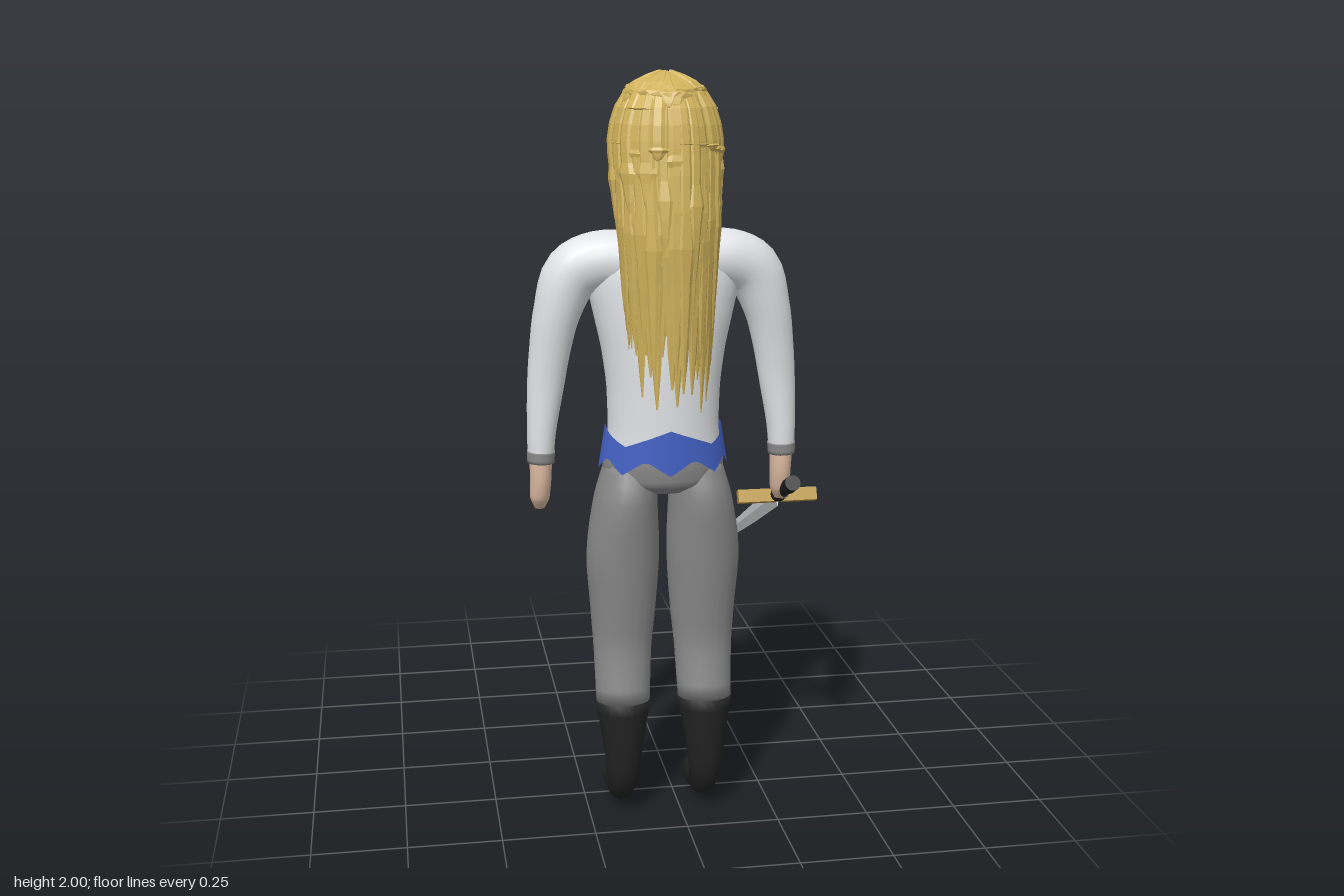
import * as THREE from 'three';

const mat = (name, color, extra = {}) =>
  Object.assign(new THREE.MeshStandardMaterial({ color, ...extra }), { name });

const X = new THREE.Vector3(1, 0, 0);
const Z = new THREE.Vector3(0, 0, 1);

// Closed skin over elliptical rings [x, y, z, radius along ref, radius across].
function loft(rings, ref, sides = 20, steps = 4) {
  const path = new THREE.CatmullRomCurve3(rings.map(r => new THREE.Vector3(r[0], r[1], r[2])));
  const size = new THREE.CatmullRomCurve3(rings.map(r => new THREE.Vector3(r[3], r[4], 0)));
  const n = (rings.length - 1) * steps, pos = [], idx = [];
  for (let i = 0; i <= n; i++) {
    const p = path.getPoint(i / n), s = size.getPoint(i / n);
    const v = path.getTangent(i / n).cross(ref).normalize();
    for (let j = 0; j < sides; j++) {
      const a = j / sides * Math.PI * 2;
      const q = p.clone().addScaledVector(ref, Math.cos(a) * s.x).addScaledVector(v, Math.sin(a) * s.y);
      pos.push(q.x, q.y, q.z);
    }
  }
  const end = pos.length / 3;
  for (const p of [path.getPoint(0), path.getPoint(1)]) pos.push(p.x, p.y, p.z);
  for (let j = 0; j < sides; j++) {
    const k = (j + 1) % sides;
    for (let i = 0; i < n; i++) {
      const a = i * sides + j, b = i * sides + k;
      idx.push(a, b, a + sides, b, b + sides, a + sides);
    }
    idx.push(end, k, j, end + 1, n * sides + j, n * sides + k);
  }
  const g = new THREE.BufferGeometry();
  g.setAttribute('position', new THREE.Float32BufferAttribute(pos, 3));
  g.setIndex(idx);
  g.computeVertexNormals();
  return g;
}

function add(parent, name, geometry, material, x = 0, y = 0, z = 0) {
  const m = new THREE.Mesh(geometry, material);
  m.name = name;
  m.position.set(x, y, z);
  parent.add(m);
  return m;
}

// Jagged sash wrapped around the waist.
function sashGeometry() {
  const n = 56, rows = 4, pos = [], idx = [];
  const tri = t => Math.abs(((t % 1) + 1) % 1 * 2 - 1);
  for (let i = 0; i <= n; i++) {
    const a = i / n, top = 1.055 + 0.045 * tri(a * 4), low = 0.98 + 0.04 * tri(a * 8 + 0.5);
    for (let r = 0; r <= rows; r++) {
      const y = low + (top - low) * r / rows;
      const rx = 0.153 + Math.max(0, 1.1 - y) * 0.16;
      pos.push(rx * Math.sin(a * Math.PI * 2), y, 0.36 + 0.124 * Math.cos(a * Math.PI * 2));
      if (i < n && r < rows) {
        const q = i * (rows + 1) + r, w = q + rows + 1;
        idx.push(q, w, q + 1, w, w + 1, q + 1);
      }
    }
  }
  const g = new THREE.BufferGeometry();
  g.setAttribute('position', new THREE.Float32BufferAttribute(pos, 3));
  g.setIndex(idx);
  g.computeVertexNormals();
  return g;
}

// One flat tapering lock; phi = 0 hangs down the back, PI over the forehead.
function lockGeometry(phi, endY, lift, width) {
  const s = Math.sin(phi), c = Math.cos(phi), rings = [];
  const back = Math.max(0, c);
  for (const deg of [6, 32, 60, 88]) {
    const t = deg * Math.PI / 180, y = 1.83 + (0.16 + lift) * Math.cos(t);
    if (y < endY) break;
    rings.push([s * (0.132 + lift) * Math.sin(t), y, 0.385 + c * (0.142 + lift) * Math.sin(t),
      width * (0.35 + 0.65 * Math.sin(t)), 0.007]);
  }
  const last = rings[rings.length - 1];
  for (const f of [0.3, 0.6, 0.85, 1]) {
    const y = last[1] + (endY - last[1]) * f, d = Math.max(0, 1.83 - y);
    const k = Math.min(1, d / 0.2);
    const narrow = 1 - d * 0.28;
    let x = s * (0.132 + lift) * narrow, z = 0.385 + 0.055 * k + c * (0.142 - 0.022 * k + lift) - back * d * 0.02;
    if (last[1] > 1.85) {
      const m = Math.sqrt(Math.max(0.1, 1 - ((y - 1.83) / 0.17) ** 2));
      x = s * (0.132 + lift) * m;
      z = 0.385 + c * (0.142 + lift) * m;
    }
    const taper = f === 1 ? 0.12 : f > 0.8 ? 0.6 : 1;
    rings.push([x, y, z, width * taper, 0.007 * taper]);
  }
  return loft(rings, new THREE.Vector3(c, 0, -s), 6, 2);
}

export function createModel() {
  const skin = mat('skin', 0xe2c0a6);
  const hairColor = mat('golden hair', 0xd0b25c, { flatShading: true, side: THREE.DoubleSide });
  const shirt = mat('white shirt', 0xe2e5e8);
  const grey = mat('grey cloth', 0x8a8a8a);
  const black = mat('black leather', 0x222222);
  const blue = mat('blue sash', 0x4462c6, { side: THREE.DoubleSide });
  const gold = mat('gold', 0xb8953c);
  const steel = mat('steel', 0xc6c8ca, { flatShading: true });
  const lip = mat('lips', 0x8a5a50);

  const model = new THREE.Group();
  model.name = 'swordBearer';
  const body = new THREE.Group();
  body.name = 'body';
  body.position.x = -0.045;
  model.add(body);

  // Torso and hips
  add(body, 'torso', loft([[0, 1.03, 0.36, 0.152, 0.117], [0, 1.1, 0.36, 0.147, 0.118], [0, 1.2, 0.36, 0.15, 0.12],
    [0, 1.3, 0.36, 0.163, 0.12], [0, 1.4, 0.36, 0.185, 0.116], [0, 1.5, 0.36, 0.205, 0.105],
    [0, 1.565, 0.36, 0.19, 0.085], [0, 1.6, 0.36, 0.13, 0.062], [0, 1.615, 0.36, 0.06, 0.05]], X, 32), shirt);
  add(body, 'hips', loft([[0, 0.92, 0.36, 0.09, 0.07], [0, 0.95, 0.36, 0.155, 0.112],
    [0, 1.0, 0.36, 0.161, 0.119], [0, 1.05, 0.36, 0.15, 0.117]], X, 32), grey);
  add(body, 'sash', sashGeometry(), blue);

  // Arms and legs, mirrored
  for (const s of [-1, 1]) {
    const side = s > 0 ? 'Left' : 'Right';
    const limb = (name, rings, ref, m) =>
      add(body, name + side, loft(rings.map(([x, ...r]) => [x * s, ...r]), ref), m);
    limb('sleeve', [[0.08, 1.525, 0.36, 0.085, 0.078], [0.17, 1.526, 0.36, 0.078, 0.078],
      [0.235, 1.495, 0.358, 0.068, 0.076], [0.275, 1.4, 0.355, 0.06, 0.062], [0.295, 1.3, 0.352, 0.05, 0.054],
      [0.308, 1.2, 0.35, 0.043, 0.048], [0.32, 1.08, 0.35, 0.04, 0.038], [0.323, 1.01, 0.35, 0.038, 0.034]], Z, shirt);
    limb('cuff', [[0.322, 1.03, 0.35, 0.041, 0.037], [0.323, 1.0, 0.35, 0.04, 0.036]], Z, grey);
    limb('hand', [[0.323, 1.01, 0.348, 0.032, 0.03], [0.323, 0.95, 0.34, 0.035, 0.028],
      [0.325, 0.9, 0.33, 0.032, 0.026], [0.325, 0.868, 0.322, 0.014, 0.013]], Z, skin);
    limb('leg', [[0.085, 1.0, 0.36, 0.07, 0.088], [0.1, 0.9, 0.358, 0.084, 0.115], [0.108, 0.75, 0.357, 0.098, 0.099],
      [0.108, 0.6, 0.353, 0.089, 0.083], [0.11, 0.48, 0.356, 0.079, 0.069], [0.112, 0.33, 0.377, 0.073, 0.068]], X, grey);
    limb('boot', [[0.112, 0.335, 0.377, 0.075, 0.07], [0.113, 0.2, 0.386, 0.053, 0.051], [0.114, 0.12, 0.378, 0.044, 0.046],
      [0.114, 0.075, 0.345, 0.038, 0.044], [0.114, 0.06, 0.3, 0.036, 0.043],
      [0.114, 0.05, 0.235, 0.035, 0.045], [0.114, 0.045, 0.207, 0.02, 0.025]], X, black);
  }

  // Head and face
  const head = new THREE.Group();
  head.name = 'head';
  body.add(head);
  add(head, 'neck', loft([[0, 1.57, 0.36, 0.056, 0.052], [0, 1.64, 0.358, 0.046, 0.045], [0, 1.75, 0.355, 0.046, 0.045]], X), skin);
  add(head, 'skull', new THREE.SphereGeometry(1, 28, 20).scale(0.09, 0.132, 0.095), skin, 0, 1.822, 0.36);
  add(head, 'nose', new THREE.ConeGeometry(0.017, 0.05, 8).rotateX(-0.5), skin, 0, 1.825, 0.258);
  for (const s of [-1, 1]) {
    add(head, 'eye', new THREE.SphereGeometry(1, 14, 10).scale(0.016, 0.009, 0.008), shirt, s * 0.035, 1.848, 0.276);
    add(head, 'pupil', new THREE.SphereGeometry(1, 10, 8).scale(0.006, 0.007, 0.004), black, s * 0.035, 1.848, 0.2695);
  }
  add(head, 'mouth', new THREE.SphereGeometry(1, 14, 8).scale(0.024, 0.005, 0.006), lip, 0, 1.765, 0.276);

  // Hair: scalp cap, then layered locks
  const hair = new THREE.Group();
  hair.name = 'hair';
  body.add(hair);
  add(hair, 'scalp', new THREE.SphereGeometry(1, 24, 10, 0, Math.PI * 2, 0, Math.PI / 2)
    .rotateX(0.6).scale(0.124, 0.153, 0.134), hairColor, 0, 1.83, 0.385);
  let seed = 7;
  const rand = () => (seed = (seed * 16807) % 2147483647) / 2147483647;
  const layer = (count, from, to, endY, lift, width) => {
    for (let i = 0; i < count; i++) {
      const phi = from + (to - from) * (i + 0.2 + 0.6 * rand()) / count;
      add(hair, 'lock', lockGeometry(phi, endY(phi), lift + rand() * 0.006, width), hairColor);
    }
  };
  layer(22, -1.45, 1.45, () => 1.14 + rand() * 0.24, -0.006, 0.019);
  layer(17, -1.45, 1.45, () => 1.22 + rand() * 0.3, 0.001, 0.017);
  layer(13, -1.6, 1.6, () => 1.62 + rand() * 0.22, 0.005, 0.02);
  layer(22, -Math.PI, Math.PI, () => 1.9 + rand() * 0.05, 0.004, 0.026);
  for (const s of [-1, 1]) {
    layer(7, s * 1.35, s * 2.1, p => 1.64 + (Math.abs(p) - 1.35) * 0.16 + rand() * 0.03, -0.002, 0.02);
    layer(9, s * 2.05, s * Math.PI, () => 1.875 + rand() * 0.025, -0.004, 0.024);
  }

  // Sword held in the left hand, pointing forward and down
  const sword = new THREE.Group();
  sword.name = 'sword';
  sword.position.set(0.29, 0.855, 0.26);
  sword.rotation.x = -0.433;
  model.add(sword);
  add(sword, 'blade', loft([[0, 0, 0, 0.007, 0.03], [0, 0, -0.3, 0.007, 0.028],
    [0, 0, -0.68, 0.006, 0.019], [0, 0, -0.92, 0.001, 0.001]], X, 4).toNonIndexed(), steel);
  add(sword, 'crossguard', new THREE.BoxGeometry(0.22, 0.036, 0.024), gold);
  add(sword, 'grip', new THREE.CylinderGeometry(0.017, 0.017, 0.18, 16).rotateX(Math.PI / 2), black, 0, 0, 0.1);
  for (const z of [0.04, 0.17])
    add(sword, 'gripSwell', new THREE.CylinderGeometry(0.021, 0.021, 0.05, 16).rotateX(Math.PI / 2), black, 0, 0, z);
  return model;
}
